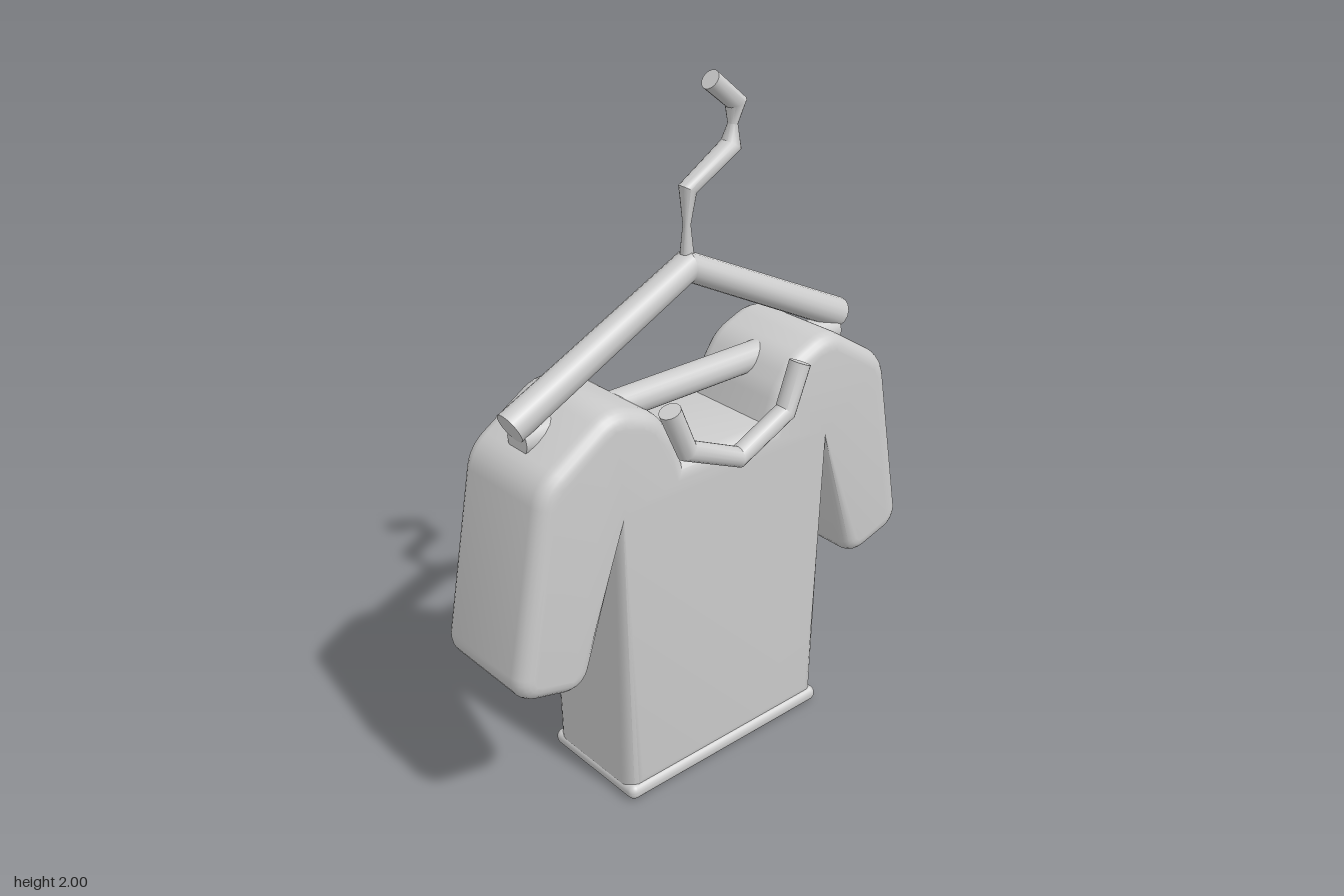
import * as THREE from 'three';
import { toCreasedNormals } from 'three/addons/utils/BufferGeometryUtils.js';
import { RoundedBoxGeometry } from 'three/addons/geometries/RoundedBoxGeometry.js';

const HANGER_Z = -0.025;

// Capped rod through points [x, y, z, radius], bent in the xy plane with sharp corners.
function rodGeometry(points, sides = 16) {
  const pos = [], index = [];
  points.forEach(([x, y, z, r], i) => {
    const dir = (a, b) => new THREE.Vector2(b[0] - a[0], b[1] - a[1]).normalize();
    const t = new THREE.Vector2();
    if (i > 0) t.add(dir(points[i - 1], points[i]));
    if (i < points.length - 1) t.add(dir(points[i], points[i + 1]));
    t.normalize();
    for (let k = 0; k < sides; k++) {
      const a = (k / sides) * Math.PI * 2, c = Math.cos(a) * r;
      pos.push(x - t.y * c, y + t.x * c, z + Math.sin(a) * r);
    }
  });
  const rings = points.length;
  for (let i = 0; i < rings - 1; i++) {
    for (let k = 0; k < sides; k++) {
      const a = i * sides + k, b = i * sides + ((k + 1) % sides);
      index.push(a, b, b + sides, a, b + sides, a + sides);
    }
  }
  const last = (rings - 1) * sides;
  for (let k = 1; k < sides - 1; k++) {
    index.push(0, k + 1, k, last, last + k, last + k + 1);
  }
  const geo = new THREE.BufferGeometry();
  geo.setAttribute('position', new THREE.Float32BufferAttribute(pos, 3));
  geo.setIndex(index);
  return toCreasedNormals(geo, 0.6);
}

// Closed shape whose corners [x, y, rounding] are softened by a small curve.
function roundedShape(corners) {
  const shape = new THREE.Shape();
  const n = corners.length;
  const toward = (p, q) => {
    const a = new THREE.Vector2(p[0], p[1]), b = new THREE.Vector2(q[0], q[1]);
    return a.add(b.sub(a).setLength(p[2]));
  };
  corners.forEach((p, i) => {
    const a = toward(p, corners[(i + n - 1) % n]);
    const b = toward(p, corners[(i + 1) % n]);
    if (i === 0) shape.moveTo(a.x, a.y);
    else shape.lineTo(a.x, a.y);
    if (p[2] > 0) shape.quadraticCurveTo(p[0], p[1], b.x, b.y);
  });
  shape.closePath();
  return shape;
}

export function createModel() {
  const model = new THREE.Group();
  model.name = 'shirtOnHanger';
  const grey = new THREE.MeshStandardMaterial({ color: 0xcccccc });
  grey.name = 'lightGrey';

  const add = (name, geometry, parent = model) => {
    const mesh = new THREE.Mesh(geometry, grey);
    mesh.name = name;
    parent.add(mesh);
    return mesh;
  };

  // Shirt: right half of the outline, mirrored, then extruded with a round bevel
  const half = [
    [0.328, 0.065, 0],      // bottom corner
    [0.372, 0.95, 0],       // armpit
    [0.54, 0.508, 0.03],    // sleeve opening
    [0.685, 0.548, 0.03],
    [0.582, 1.082, 0.04],   // shoulder
    [0.385, 1.208, 0.04],
    [0.275, 1.165, 0.03],   // neck opening
    [0.23, 1.1, 0.02],
    [0.188, 0.985, 0],
  ];
  const mirrored = half.map(([x, y, r]) => [-x, y, r]).reverse();
  const shirt = new THREE.ExtrudeGeometry(roundedShape([...half, ...mirrored]), {
    depth: 0.265, bevelSize: 0.045, bevelThickness: 0.045, bevelSegments: 5, curveSegments: 5,
  });
  shirt.translate(0, 0, -0.155);
  add('shirt', toCreasedNormals(shirt, 0.6));

  // Rolled band around the bottom
  add('hem', new RoundedBoxGeometry(0.75, 0.048, 0.375, 4, 0.022)).position.set(0, 0.027, -0.0225);

  // Collar roll on the front of the neck
  add('collar', rodGeometry([
    [-0.235, 1.215, 0.177, 0.031],
    [-0.18, 1.085, 0.18, 0.031],
    [0, 1.006, 0.184, 0.031],
    [0.18, 1.085, 0.18, 0.031],
    [0.235, 1.215, 0.177, 0.031],
  ]));

  // Hanger: sloping arms, cross bar and bent hook
  const hanger = new THREE.Group();
  hanger.name = 'hanger';
  hanger.position.z = HANGER_Z;
  model.add(hanger);
  add('hangerArms', rodGeometry([
    [-0.59, 1.207, 0, 0.046], [0, 1.495, 0, 0.045], [0.59, 1.207, 0, 0.046],
  ]), hanger);
  add('hangerBar', rodGeometry([[-0.57, 1.165, 0, 0.043], [0.57, 1.165, 0, 0.043]]), hanger);
  add('hangerHook', rodGeometry([
    [0, 1.5, 0, 0.022],
    [0, 1.61, 0, 0.011],
    [0.003, 1.705, 0, 0.026],
    [0.155, 1.795, 0, 0.03],
    [0.16, 1.85, 0, 0.014],
    [0.17, 1.905, 0, 0.03],
    [0.08, 1.977, 0, 0.028],
  ]), hanger);

  return model;
}
